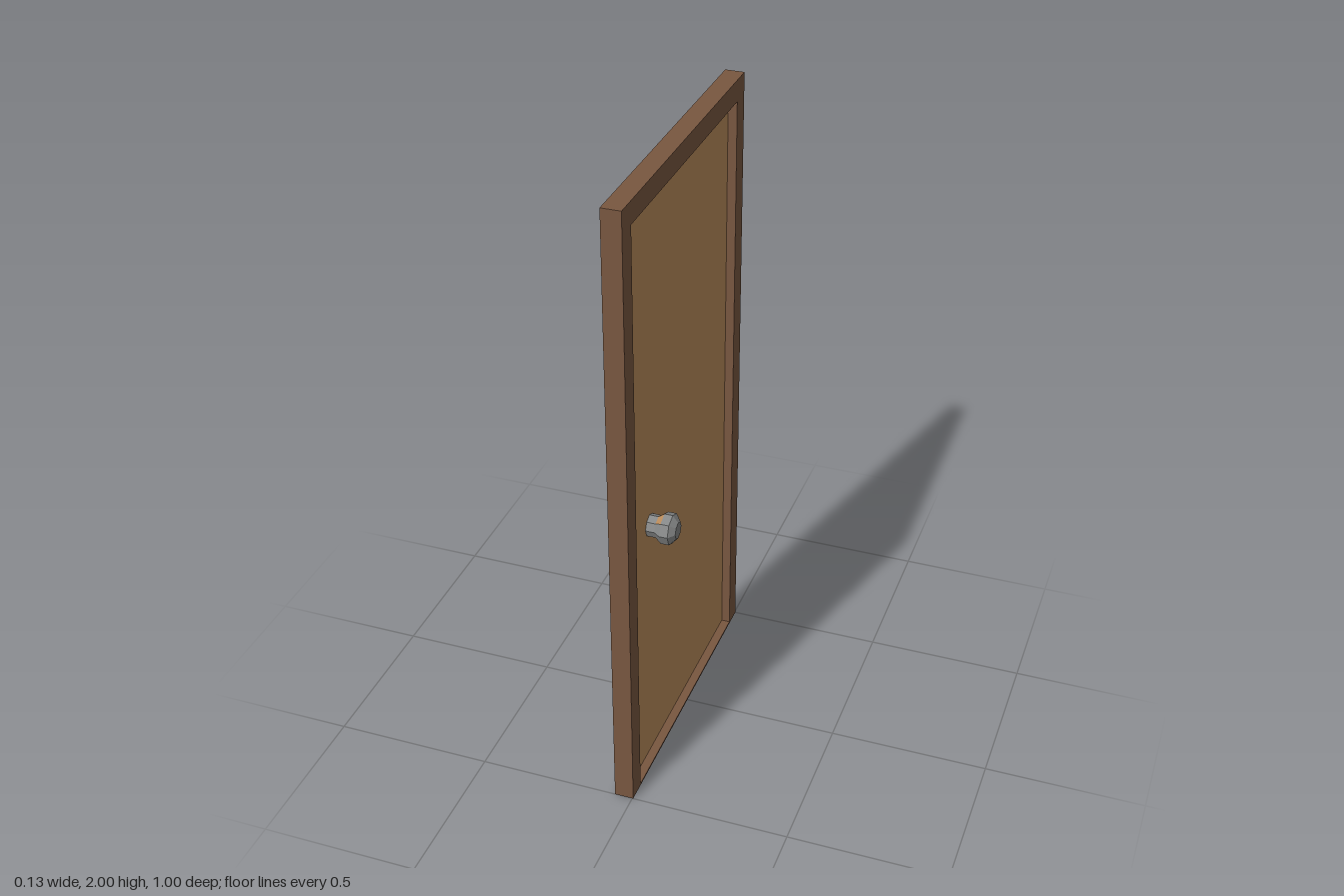
import * as THREE from 'three';

export function createModel() {
  const model = new THREE.Group();
  const mat = (name, color) => {
    const m = new THREE.MeshStandardMaterial({ color });
    m.name = name;
    return m;
  };
  const brown = mat('dark wood', 0x795740);
  const tan = mat('light wood', 0xba8c5c);
  const grey = mat('grey metal', 0x868888);

  const add = (name, geometry, material, parent = model) => {
    const mesh = new THREE.Mesh(geometry, material);
    mesh.name = name;
    parent.add(mesh);
    return mesh;
  };

  // Frame: one solid outline with a recessed opening, closed by a back board
  const back = -0.057, face = 0.003, panelX = -0.025;
  const outline = new THREE.Shape([[-0.5, 0], [0.5, 0], [0.5, 2], [-0.5, 2]].map(p => new THREE.Vector2(...p)));
  outline.holes.push(new THREE.Path([[-0.435, 0.006], [-0.435, 1.932], [0.435, 1.932], [0.435, 0.006]].map(p => new THREE.Vector2(...p))));
  const frame = new THREE.ExtrudeGeometry(outline, { depth: face - back, bevelEnabled: false });
  frame.rotateY(Math.PI / 2).translate(back, 0, 0);
  add('frame', frame, brown);

  const boxBetween = (x0, x1) =>
    new THREE.BoxGeometry(x1 - x0, 1.926, 0.87).translate((x0 + x1) / 2, 0.969, 0);
  add('backBoard', boxBetween(back, -0.04), brown);
  add('doorPanel', boxBetween(-0.04, panelX), tan);

  // Knob: faceted eight-sided turnings along x, given as [radius, x]
  const knob = new THREE.Group();
  knob.name = 'knob';
  knob.position.set(0, 0.865, 0.255);
  model.add(knob);
  const turned = (points, segments = 8, start = 0) => {
    const g = new THREE.LatheGeometry(points.map(p => new THREE.Vector2(...p)), segments, start, segments * Math.PI / 4)
      .rotateZ(-Math.PI / 2).toNonIndexed();
    g.computeVertexNormals();
    return g;
  };
  const collar = [[0.035, 0.003], [0.049, 0.022]];
  add('spindle', turned([[0.035, -0.067], [0.035, 0.003]]), grey, knob);
  add('spindleEnd', turned([[0, -0.067], [0.035, -0.067]]), tan, knob);
  add('collar', turned(collar, 6, Math.PI * 1.75), grey, knob);
  add('collarTop', turned(collar, 2, Math.PI * 1.25), tan, knob);
  add('handle', turned([[0.049, 0.022], [0.049, 0.048], [0.027, 0.065], [0, 0.065]]), grey, knob);

  return model;
}
